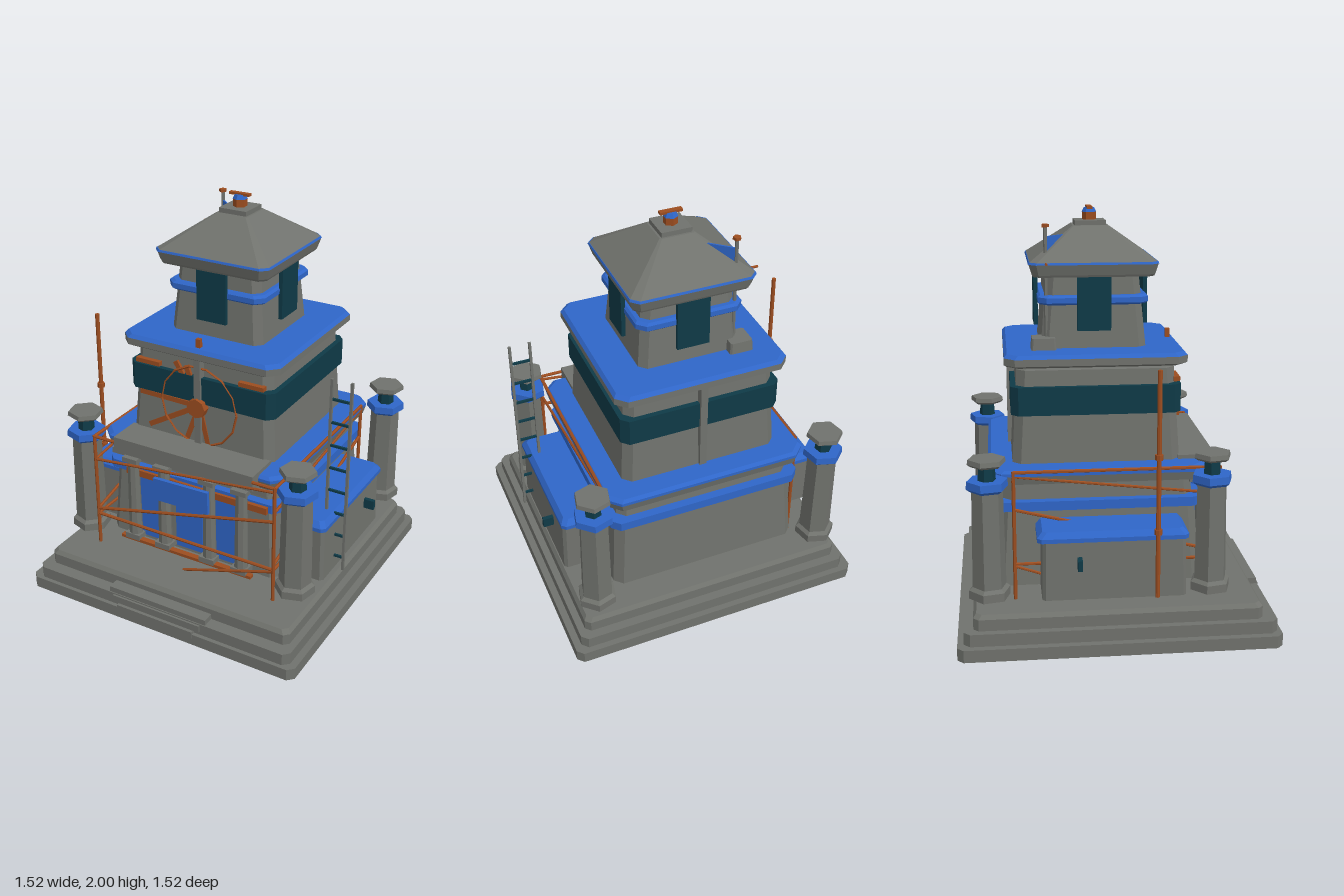
import * as THREE from 'three';

const mat = (name, color) => {
  const m = new THREE.MeshStandardMaterial({ color, flatShading: true, side: THREE.DoubleSide });
  m.name = name;
  return m;
};

export function createModel() {
  const stone = mat('stone', 0x70726d), blue = mat('blue', 0x2f66c8);
  const rust = mat('rust', 0x9c4d20), teal = mat('teal', 0x0f3a47);
  const root = new THREE.Group();
  root.name = 'tower';
  const CZ = -0.09; // tower axis

  const add = (name, geo, m, x = 0, y = 0, z = 0, parent = root) => {
    const mesh = new THREE.Mesh(geo, m);
    mesh.name = name;
    mesh.position.set(x, y, z);
    parent.add(mesh);
    return mesh;
  };
  const box = (name, m, w, h, d, x, y, z, parent) => add(name, new THREE.BoxGeometry(w, h, d), m, x, y, z, parent);

  // Chamfered block lofted through rings of [y, halfX, halfZ, cornerCut]
  const block = (name, m, rings, x = 0, z = CZ, parent = root) => {
    const pos = [], idx = [];
    for (const [y, a, b, c] of rings) {
      const pts = [[a, b - c], [a - c, b], [c - a, b], [-a, b - c], [-a, c - b], [c - a, -b], [a - c, -b], [a, c - b]];
      for (const [px, pz] of pts) pos.push(px, y, pz);
    }
    for (let r = 0; r < rings.length - 1; r++) {
      for (let i = 0; i < 8; i++) {
        const p = r * 8 + i, q = r * 8 + (i + 1) % 8;
        idx.push(p, p + 8, q, q, p + 8, q + 8);
      }
    }
    const t = (rings.length - 1) * 8;
    for (let i = 1; i < 7; i++) idx.push(0, i, i + 1, t, t + i + 1, t + i);
    for (let i = 0; i < idx.length; i += 3) [idx[i + 1], idx[i + 2]] = [idx[i + 2], idx[i + 1]];
    // bottom and top caps keep outward winding after the flip
    const g = new THREE.BufferGeometry();
    g.setAttribute('position', new THREE.Float32BufferAttribute(pos, 3));
    const capStart = (rings.length - 1) * 48;
    for (let i = capStart; i < idx.length; i += 3) [idx[i + 1], idx[i + 2]] = [idx[i + 2], idx[i + 1]];
    for (let i = 0; i < capStart; i += 3) [idx[i + 1], idx[i + 2]] = [idx[i + 2], idx[i + 1]];
    for (let i = 0; i < idx.length; i += 3) {
      const [A, B, C] = [0, 1, 2].map(k => new THREE.Vector3().fromArray(pos, idx[i + k] * 3));
      const n = B.clone().sub(A).cross(C.clone().sub(A));
      const mid = A.add(B).add(C).divideScalar(3);
      mid.y -= (rings[0][0] + rings.at(-1)[0]) / 2;
      if (n.dot(mid) < 0) [idx[i + 1], idx[i + 2]] = [idx[i + 2], idx[i + 1]];
    }
    g.setIndex(idx);
    const flat = g.toNonIndexed();
    flat.computeVertexNormals();
    return add(name, flat, m, x, 0, z, parent);
  };
  const sq = (name, m, y0, y1, h0, h1, c) => block(name, m, [[y0, h0, h0, c], [y1, h1, h1, c]]);

  // Straight bar between two points
  const bar = (name, m, a, b, r, parent = root, sides = 6) => {
    const A = new THREE.Vector3(...a), B = new THREE.Vector3(...b), d = B.clone().sub(A);
    const mesh = add(name, new THREE.CylinderGeometry(r, r, d.length(), sides), m, 0, 0, 0, parent);
    mesh.position.copy(A).add(B).multiplyScalar(0.5);
    mesh.quaternion.setFromUnitVectors(new THREE.Vector3(0, 1, 0), d.normalize());
    return mesh;
  };

  // Stepped plinth and entrance steps
  block('plinthLower', stone, [[0, 0.76, 0.76, 0.03], [0.06, 0.76, 0.76, 0.03]], 0, -0.005);
  block('plinthMiddle', stone, [[0.06, 0.725, 0.735, 0.03], [0.12, 0.725, 0.735, 0.03]], 0, 0);
  block('plinthUpper', stone, [[0.12, 0.69, 0.68, 0.025], [0.175, 0.69, 0.68, 0.025], [0.195, 0.675, 0.665, 0.025]], 0, -0.01);
  [[0.555, 0.13, 0.73], [0.5, 0.095, 0.745], [0.435, 0.057, 0.76]].forEach(([w, y, z]) =>
    box('entranceStep', stone, w, 0.037, z - 0.67, 0, y, (z + 0.67) / 2));

  // Lower storey
  sq('lowerWall', stone, 0.255, 0.64, 0.49, 0.465, 0.04);
  sq('lowerBand', blue, 0.625, 0.67, 0.495, 0.495, 0.04);
  sq('lowerFrieze', stone, 0.64, 0.765, 0.455, 0.445, 0.04);
  sq('lowerCornice', stone, 0.76, 0.8, 0.505, 0.515, 0.06);
  block('lowerRoof', blue, [[0.8, 0.515, 0.515, 0.06], [0.815, 0.515, 0.515, 0.06], [0.828, 0.5, 0.5, 0.06]]);

  // Porch: panels, columns, sill, sign and slab
  box('porchSlab', stone, 0.785, 0.08, 0.18, 0, 0.807, 0.39);
  box('porchLintel', stone, 0.88, 0.03, 0.08, 0, 0.74, 0.39);
  for (const x of [-0.225, 0, 0.225]) box('porchPanel', blue, 0.155, 0.4, 0.03, x, 0.48, 0.4);
  for (const x of [-0.31, -0.13, 0.13, 0.31]) {
    add('porchColumn', new THREE.CylinderGeometry(0.03, 0.036, 0.44, 8), stone, x, 0.5, 0.435);
    box('columnBase', stone, 0.085, 0.03, 0.075, x, 0.285, 0.435);
    box('columnCap', stone, 0.085, 0.025, 0.075, x, 0.73, 0.435);
  }
  box('porchSill', rust, 0.76, 0.016, 0.03, 0, 0.27, 0.455);
  box('porchRail', rust, 0.8, 0.035, 0.02, 0.04, 0.645, 0.42);
  box('signBoard', blue, 0.31, 0.12, 0.02, 0, 0.632, 0.485).rotation.z = 0.02;

  // Side annexes with bevelled blue roofs
  for (const s of [-1, 1]) {
    block('annexWall', stone, [[0.255, 0.125, 0.335, 0.015], [0.54, 0.12, 0.33, 0.015]], s * 0.56, -0.035);
    block('annexRoof', blue, [[0.535, 0.13, 0.35, 0.02], [0.555, 0.13, 0.35, 0.02], [0.582, 0.11, 0.325, 0.02]], s * 0.56, -0.04);
    box('annexVent', teal, 0.06, 0.05, 0.022, s * 0.705, 0.437, -0.197);
  }

  // Corner pillars
  for (const s of [-1, 1]) for (const z of [-0.61, 0.425]) {
    const p = new THREE.Group();
    p.name = 'cornerPillar';
    p.position.set(s * 0.6, 0, z);
    p.rotation.y = -s * 0.22;
    root.add(p);
    const hex = (name, m, y0, y1, r0, r1) =>
      add(name, new THREE.CylinderGeometry(r1, r0, y1 - y0, 6), m, 0, (y0 + y1) / 2, 0, p);
    hex('pillarFoot', stone, 0.255, 0.295, 0.098, 0.098);
    hex('pillarFootBevel', stone, 0.295, 0.31, 0.098, 0.08);
    hex('pillarShaft', stone, 0.3, 0.785, 0.08, 0.073);
    hex('pillarCollarBevel', blue, 0.77, 0.785, 0.08, 0.098);
    hex('pillarCollar', blue, 0.785, 0.82, 0.098, 0.095);
    hex('pillarNeck', teal, 0.82, 0.892, 0.042, 0.038);
    hex('pillarCapBevel', stone, 0.888, 0.9, 0.075, 0.09);
    hex('pillarCap', stone, 0.9, 0.922, 0.09, 0.086);
  }

  // Rusty scaffold round the front and both sides
  const scaffold = new THREE.Group();
  scaffold.name = 'scaffold';
  root.add(scaffold);
  const X = 0.51, F = 0.48, B = -0.49;
  for (const s of [-1, 1]) {
    for (const z of [F, B]) bar('scaffoldPost', rust, [s * X, 0.195, z], [s * X, 0.825, z], 0.009, scaffold);
    bar('frontTopRail', rust, [s * X, 0.82, F], [s * 0.39, 0.82, F], 0.008, scaffold);
  }
  const runs = [[[-X, F], [X, F]], [[X, F], [X, B]], [[-X, F], [-X, B]]];
  runs.forEach(([a, b], i) => {
    const at = (t, y) => [a[0] + (b[0] - a[0]) * t, y, a[1] + (b[1] - a[1]) * t];
    if (i) bar('sideTopRail', rust, at(0, 0.82), at(1, 0.82), 0.009, scaffold);
    bar('lowRail', rust, at(0, 0.37), at(1, 0.37), 0.008, scaffold);
    bar('upperBrace', rust, at(0, 0.69), at(1, 0.8), 0.007, scaffold);
    bar('middleBrace', rust, at(0, 0.4), at(1, 0.64), 0.008, scaffold);
    bar('lowerBrace', rust, at(0.5, 0.195), at(1, 0.36), 0.007, scaffold);
  });

  // Middle storey
  sq('middleWall', stone, 0.82, 1.27, 0.4, 0.372, 0.04);
  sq('middleWallTop', stone, 1.27, 1.3, 0.372, 0.35, 0.04);
  sq('middleBand', teal, 1.06, 1.195, 0.402, 0.402, 0.035);
  block('middleCornice', stone, [[1.29, 0.415, 0.415, 0.05], [1.3, 0.43, 0.43, 0.05], [1.333, 0.43, 0.43, 0.05]]);
  block('middleRoof', blue, [[1.333, 0.43, 0.43, 0.05], [1.35, 0.415, 0.415, 0.05]]);
  for (const s of [-1, 1]) box('wallRib', stone, 0.035, 0.47, 0.05, 0, 1.065, CZ + s * 0.39);
  box('roofPeg', rust, 0.024, 0.05, 0.022, 0, 1.368, 0.3);

  // Broken wheel on the front wall
  const wheel = new THREE.Group();
  wheel.name = 'brokenWheel';
  wheel.position.set(0, 1.04, 0.31);
  root.add(wheel);
  add('wheelRim', new THREE.TorusGeometry(0.21, 0.006, 4, 14), rust, 0, 0, 0, wheel);
  add('wheelHub', new THREE.CylinderGeometry(0.05, 0.05, 0.04, 8), rust, 0, 0, 0.01, wheel).rotation.x = Math.PI / 2;
  for (const [x, y] of [[-0.34, 0.005], [-0.29, -0.17], [-0.13, 0.21], [-0.07, 0.2], [-0.07, -0.19], [0.05, -0.2]]) {
    const len = Math.hypot(x, y);
    box('wheelSpoke', rust, len, 0.026, 0.014, x / 2, y / 2, -0.008, wheel).rotation.z = Math.atan2(y, x);
  }
  for (const x of [-0.29, 0.285]) box('wallBracket', rust, 0.135, 0.022, 0.03, x, 1.212, 0.295);

  // Upper storey with a window on each side
  sq('upperWall', stone, 1.345, 1.7, 0.252, 0.22, 0.035);
  block('upperBand', blue, [[1.555, 0.25, 0.25, 0.04], [1.565, 0.262, 0.262, 0.04], [1.59, 0.262, 0.262, 0.04], [1.6, 0.25, 0.25, 0.04]]);
  for (let i = 0; i < 4; i++) {
    const side = new THREE.Group();
    side.name = 'upperWindow';
    side.position.z = CZ;
    side.rotation.y = i * Math.PI / 2;
    root.add(side);
    box('windowShutter', teal, 0.16, 0.255, 0.02, 0, 1.563, 0.267, side);
  }

  // Hipped roof and finial
  block('eave', stone, [[1.69, 0.285, 0.285, 0.03], [1.7, 0.29, 0.29, 0.03], [1.75, 0.305, 0.305, 0.035]]);
  sq('eaveStripe', blue, 1.749, 1.759, 0.307, 0.303, 0.035);
  block('hippedRoof', stone, [[1.758, 0.302, 0.302, 0.035], [1.912, 0.085, 0.085, 0.008]]);
  sq('roofCap', stone, 1.905, 1.935, 0.075, 0.075, 0.002);
  add('finialBase', new THREE.CylinderGeometry(0.034, 0.034, 0.04, 6), rust, 0, 1.953, CZ);
  add('finialGem', new THREE.CylinderGeometry(0.025, 0.036, 0.022, 6), blue, 0, 1.982, CZ);
  box('finialBar', rust, 0.11, 0.012, 0.026, 0, 1.994, CZ);

  // Flagpole on a block at the back corner
  block('flagBlock', stone, [[1.345, 0.06, 0.06, 0.008], [1.405, 0.055, 0.055, 0.008]], -0.24, -0.33);
  bar('flagPole', stone, [-0.225, 1.4, -0.314], [-0.225, 1.92, -0.314], 0.009);
  add('poleCap', new THREE.CylinderGeometry(0.02, 0.02, 0.014, 5), rust, -0.225, 1.925, -0.314);
  box('flag', blue, 0.135, 0.11, 0.008, -0.17, 1.82, -0.267).rotation.y = -0.72;
  bar('eaveRod', rust, [-0.335, 1.755, -0.315], [-0.25, 1.755, -0.315], 0.006);

  // Rusty pipe on the left-hand side
  bar('pipe', rust, [-0.692, 0.255, 0.163], [-0.692, 1.33, 0.163], 0.011, root, 8);
  for (const y of [0.575, 0.93]) add('pipeJoint', new THREE.CylinderGeometry(0.019, 0.019, 0.025, 8), rust, -0.692, y, 0.163);

  // Ladder
  for (const x of [0.632, 0.733]) box('ladderRail', stone, 0.013, 1.02, 0.013, x, 0.77, 0.165);
  for (let i = 0; i < 8; i++) box('ladderRung', teal, 0.105, 0.011, 0.011, 0.683, 0.33 + i * 0.121, 0.165);

  return root;
}
